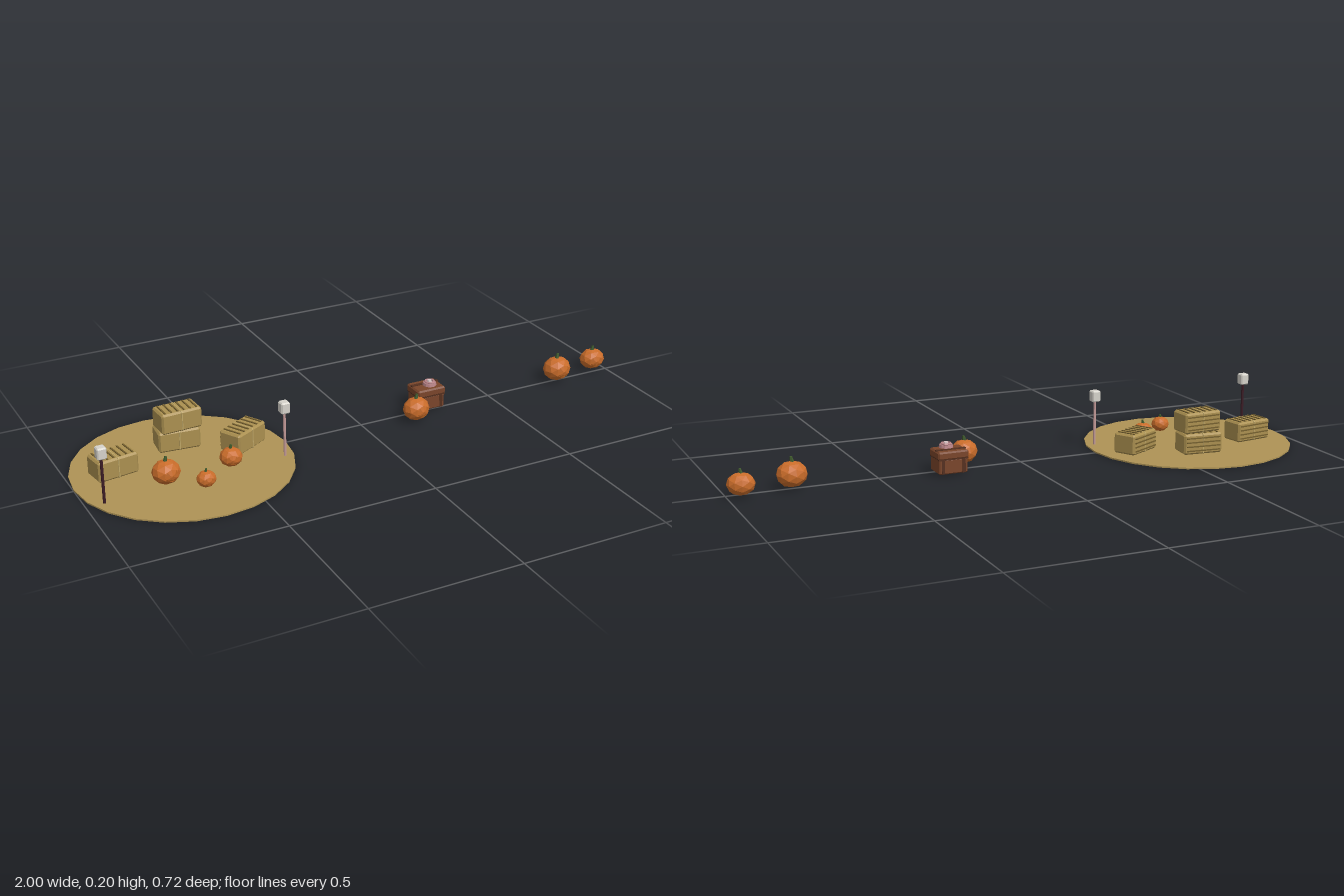
import * as THREE from 'three';
import { ConvexGeometry } from 'three/addons/geometries/ConvexGeometry.js';

const mat = (color, side = THREE.FrontSide) =>
  new THREE.MeshStandardMaterial({ color, side, flatShading: true });
const M = {
  straw: mat(0xab9050), ground: mat(0xae9355), strawDark: mat(0x75602f), twine: mat(0xc0a868),
  pumpkin: mat(0xc96c2a), carving: mat(0xb5601f, THREE.DoubleSide), stem: mat(0x3f5a2c),
  wood: mat(0x7a452a), woodDark: mat(0x55301f), pink: mat(0xb98488), pale: mat(0xd8c4c4),
  poleDark: mat(0x3c1c26), polePink: mat(0xc49a98), lantern: mat(0xd6d3cb), lanternDark: mat(0x9a9790)
};

function add(parent, name, geo, material, x = 0, y = 0, z = 0) {
  const m = new THREE.Mesh(geo, material);
  m.name = name;
  m.position.set(x, y, z);
  parent.add(m);
  return m;
}

// Box with every edge cut by c
function chamferBox(w, h, d, c) {
  const pts = [];
  for (const sx of [-1, 1]) for (const sy of [-1, 1]) for (const sz of [-1, 1]) {
    const [x, y, z] = [w / 2, h / 2, d / 2];
    pts.push(new THREE.Vector3(sx * x, sy * (y - c), sz * (z - c)));
    pts.push(new THREE.Vector3(sx * (x - c), sy * y, sz * (z - c)));
    pts.push(new THREE.Vector3(sx * (x - c), sy * (y - c), sz * z));
  }
  return new ConvexGeometry(pts);
}

const box = (w, h, d) => new THREE.BoxGeometry(w, h, d);

function hayBale(x, y, z, turn) {
  const g = new THREE.Group();
  g.name = 'hayBale';
  const w = 0.14, h = 0.07, d = 0.083;
  add(g, 'baleBody', chamferBox(w, h, d, 0.006), M.straw, 0, h / 2);
  add(g, 'baleBand', chamferBox(0.007, h + 0.002, d + 0.003, 0.005), M.twine, 0, h / 2);
  // Straw ridges across the top and along the back
  for (let i = 0; i < 6; i++)
    add(g, 'topRidge', box(0.005, 0.004, d * 0.8), M.strawDark, (i - 2.5) * 0.022, h + 0.001);
  for (let i = 0; i < 4; i++)
    add(g, 'backRidge', box(w * 0.88, 0.004, 0.005), M.strawDark, 0, 0.013 + i * 0.0145, -d / 2 - 0.001);
  g.position.set(x, y, z);
  g.rotation.y = turn;
  return g;
}

// Flat patch curved onto a unit sphere, from points in face coordinates
function carving(points) {
  const geo = new THREE.ShapeGeometry(new THREE.Shape(points.map(p => new THREE.Vector2(...p))));
  const p = geo.attributes.position;
  for (let i = 0; i < p.count; i++) {
    const x = p.getX(i), y = p.getY(i);
    p.setZ(i, Math.sqrt(1 - x * x - y * y) * 1.03);
  }
  geo.computeVertexNormals();
  return geo;
}

const EYE = [[0.18, 0.12], [0.48, 0.12], [0.32, 0.42]];
const NOSE = [[-0.07, -0.02], [0.07, -0.02], [0, 0.12]];
const MOUTH = [[-0.5, -0.12], [-0.3, -0.42], [0, -0.5], [0.3, -0.42], [0.5, -0.12],
  [0.28, -0.25], [0.15, -0.2], [0, -0.32], [-0.15, -0.2], [-0.28, -0.25]];

function pumpkin(x, z, rx, ry, rz, turn) {
  const g = new THREE.Group();
  g.name = 'pumpkin';
  const shell = new THREE.Group();
  shell.name = 'carvedShell';
  shell.scale.set(rx, ry, rz);
  add(shell, 'pumpkinBody', new THREE.IcosahedronGeometry(1, 1), M.pumpkin);
  for (const s of [-1, 1]) add(shell, 'eye', carving(EYE.map(([a, b]) => [a * s, b])), M.carving);
  add(shell, 'nose', carving(NOSE), M.carving);
  add(shell, 'mouth', carving(MOUTH), M.carving);
  g.add(shell);
  const stem = add(g, 'stem', new THREE.CylinderGeometry(rx * 0.09, rx * 0.15, rx * 0.36, 6),
    M.stem, 0, ry + rx * 0.09, 0);
  stem.rotation.z = -0.2;
  g.position.set(x, 0.004 + ry, z);
  g.rotation.y = turn;
  return g;
}

function lanternPost(x, z, material) {
  const g = new THREE.Group();
  g.name = 'lanternPost';
  add(g, 'post', new THREE.CylinderGeometry(0.0048, 0.0048, 0.155, 8), material, 0, 0.0825);
  add(g, 'lantern', chamferBox(0.031, 0.039, 0.031, 0.004), M.lantern, 0, 0.177);
  g.position.set(x, 0, z);
  return g;
}

function chest(x, z) {
  const g = new THREE.Group();
  g.name = 'chest';
  add(g, 'chestBody', chamferBox(0.1, 0.05, 0.078, 0.004), M.wood, 0, 0.03);
  add(g, 'chestLid', chamferBox(0.106, 0.027, 0.083, 0.005), M.wood, 0, 0.067);
  add(g, 'lidSeam', box(0.102, 0.004, 0.08), M.woodDark, 0, 0.054);
  add(g, 'lidBatten', box(0.104, 0.004, 0.012), M.woodDark, 0, 0.081, -0.012);
  for (const s of [-1, 1])
    add(g, 'sideBatten', box(0.01, 0.046, 0.082), M.woodDark, s * 0.036, 0.03);
  // Small round ornament resting on the lid
  add(g, 'ornamentBase', new THREE.CylinderGeometry(0.022, 0.024, 0.01, 12), M.pink, 0.007, 0.089, 0.01);
  const ring = add(g, 'ornamentRing', new THREE.TorusGeometry(0.015, 0.004, 6, 12), M.pink, 0.007, 0.096, 0.01);
  ring.rotation.x = Math.PI / 2;
  add(g, 'ornamentCap', new THREE.CylinderGeometry(0.007, 0.009, 0.008, 8), M.pale, 0.007, 0.098, 0.01);
  g.position.set(x, 0, z);
  return g;
}

export function createModel() {
  const root = new THREE.Group();
  root.name = 'harvestScene';
  add(root, 'strawGround', new THREE.CylinderGeometry(0.36, 0.36, 0.005, 24), M.ground, -0.64, 0.0025, 0);

  // Bales: x, y, z, turn
  for (const b of [[-0.853, 0.005, -0.05, 0.15], [-0.605, 0.005, -0.138, -0.1],
    [-0.603, 0.077, -0.128, 0.05], [-0.413, 0.005, -0.04, 0.5]])
    root.add(hayBale(...b));

  // Pumpkins: x, z, radii, turn
  for (const p of [[-0.728, 0.088, 0.047, 0.04, 0.043, 0.15], [-0.626, 0.166, 0.032, 0.027, 0.029, 0],
    [-0.504, 0.074, 0.038, 0.032, 0.034, -0.2], [0.182, 0.053, 0.047, 0.04, 0.042, 0.2],
    [0.785, 0.002, 0.051, 0.043, 0.045, 0.1], [0.954, -0.022, 0.046, 0.037, 0.038, -0.1]])
    root.add(pumpkin(...p));

  root.add(lanternPost(-0.942, 0.122, M.poleDark), lanternPost(-0.323, 0.091, M.polePink));
  root.add(chest(0.266, -0.027));
  return root;
}
